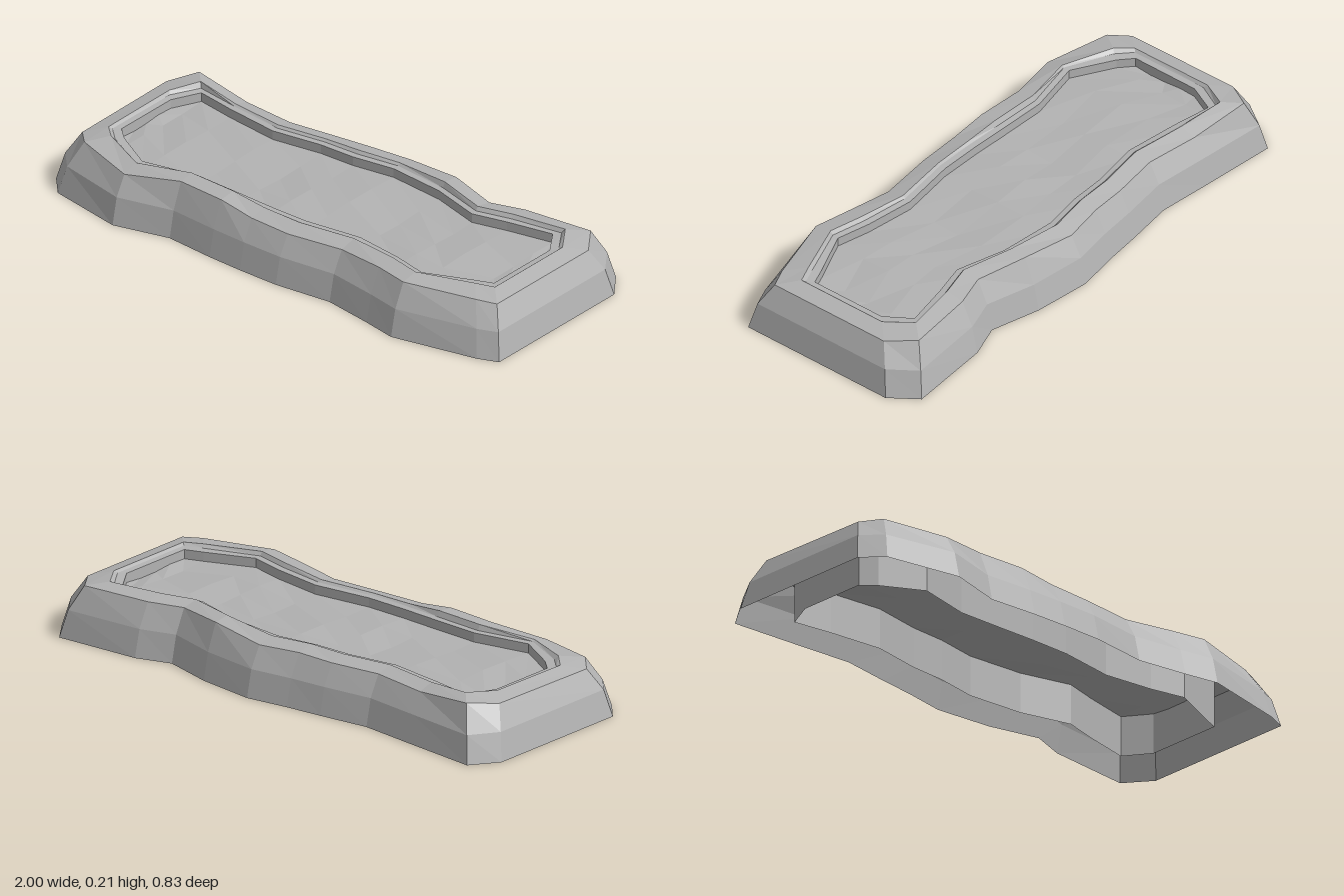
import * as THREE from 'three';

// Columns along the length: [outer x, inner x, outer back z, inner back z,
// outer front z, inner front z, rim height at back, rim height at front]
const COLUMNS = [
  [-1.00, -0.84, -0.30, -0.145, 0.28, 0.12, 0.195, 0.19],
  [-0.93, -0.79, -0.40, -0.25, 0.355, 0.165, 0.21, 0.20],
  [-0.64, -0.64, -0.375, -0.225, 0.41, 0.25, 0.185, 0.185],
  [-0.43, -0.43, -0.355, -0.20, 0.355, 0.205, 0.19, 0.21],
  [-0.24, -0.24, -0.38, -0.23, 0.37, 0.21, 0.19, 0.21],
  [-0.10, -0.10, -0.395, -0.235, 0.375, 0.215, 0.195, 0.19],
  [0.06, 0.06, -0.42, -0.26, 0.375, 0.215, 0.19, 0.185],
  [0.28, 0.28, -0.395, -0.24, 0.35, 0.185, 0.21, 0.19],
  [0.47, 0.47, -0.345, -0.187, 0.38, 0.21, 0.20, 0.20],
  [0.60, 0.60, -0.39, -0.22, 0.405, 0.24, 0.20, 0.20],
  [0.925, 0.775, -0.415, -0.255, 0.335, 0.165, 0.20, 0.195],
  [1.00, 0.84, -0.315, -0.16, 0.305, 0.14, 0.19, 0.19],
];

// Joins successive rows of points with quads
function stripMesh(name, rows, closed, material) {
  const n = rows[0].length;
  const index = [];
  for (let r = 0; r + 1 < rows.length; r++) {
    for (let i = 0; i < (closed ? n : n - 1); i++) {
      const j = (i + 1) % n;
      const a = r * n + i, b = r * n + j, c = a + n, d = b + n;
      index.push(a, c, d, a, d, b);
    }
  }
  const geometry = new THREE.BufferGeometry();
  geometry.setAttribute('position', new THREE.Float32BufferAttribute(rows.flat(2), 3));
  geometry.setIndex(index);
  const flat = geometry.toNonIndexed();
  flat.computeVertexNormals();
  const mesh = new THREE.Mesh(flat, material);
  mesh.name = name;
  return mesh;
}

export function createModel() {
  const stone = new THREE.MeshStandardMaterial({ color: 0xb2b2b2, flatShading: true, side: THREE.DoubleSide });
  stone.name = 'grey stone';

  // Outline running along the back, then returning along the front
  const back = COLUMNS.map(([ox, ix, ob, ib, , , h]) => ({ ox, oz: ob, ix, iz: ib, h }));
  const front = COLUMNS.map(([ox, ix, , , of, inf, , h]) => ({ ox, oz: of, ix, iz: inf, h })).reverse();
  const outline = [...back, ...front];

  // Ring of points at fraction t from the outer to the inner outline
  const ring = (t, height) => outline.map((p) => [
    THREE.MathUtils.lerp(p.ox, p.ix, t), height(p), THREE.MathUtils.lerp(p.oz, p.iz, t),
  ]);
  const foot = ring(0, () => 0);
  const belt = ring(0.14, () => 0.1);
  const shoulder = ring(0.4, (p) => p.h - 0.012);
  const ridge = ring(0.8, (p) => p.h * 0.6 + 0.08);
  const lip = ring(0.86, () => 0.186);
  const brink = ring(1, () => 0.184);
  const skirt = ring(1, () => 0);

  const group = new THREE.Group();
  group.name = 'stoneBasin';
  group.add(stripMesh('outerWall', [foot, belt, shoulder], true, stone));
  group.add(stripMesh('rim', [shoulder, ridge, lip, brink], true, stone));
  group.add(stripMesh('innerWall', [brink, skirt], true, stone));

  // Gently uneven floor spanning the inner outline
  const floorRows = [0, 0.25, 0.5, 0.75, 1].map((t, r) => COLUMNS.map(([, ix, , ib, , inf], i) => [
    ix,
    0.15 + 0.008 * Math.sin(Math.PI * t) * Math.cos(i * 1.9 + r),
    THREE.MathUtils.lerp(ib, inf, t),
  ]));
  group.add(stripMesh('basinFloor', floorRows, false, stone));
  return group;
}
